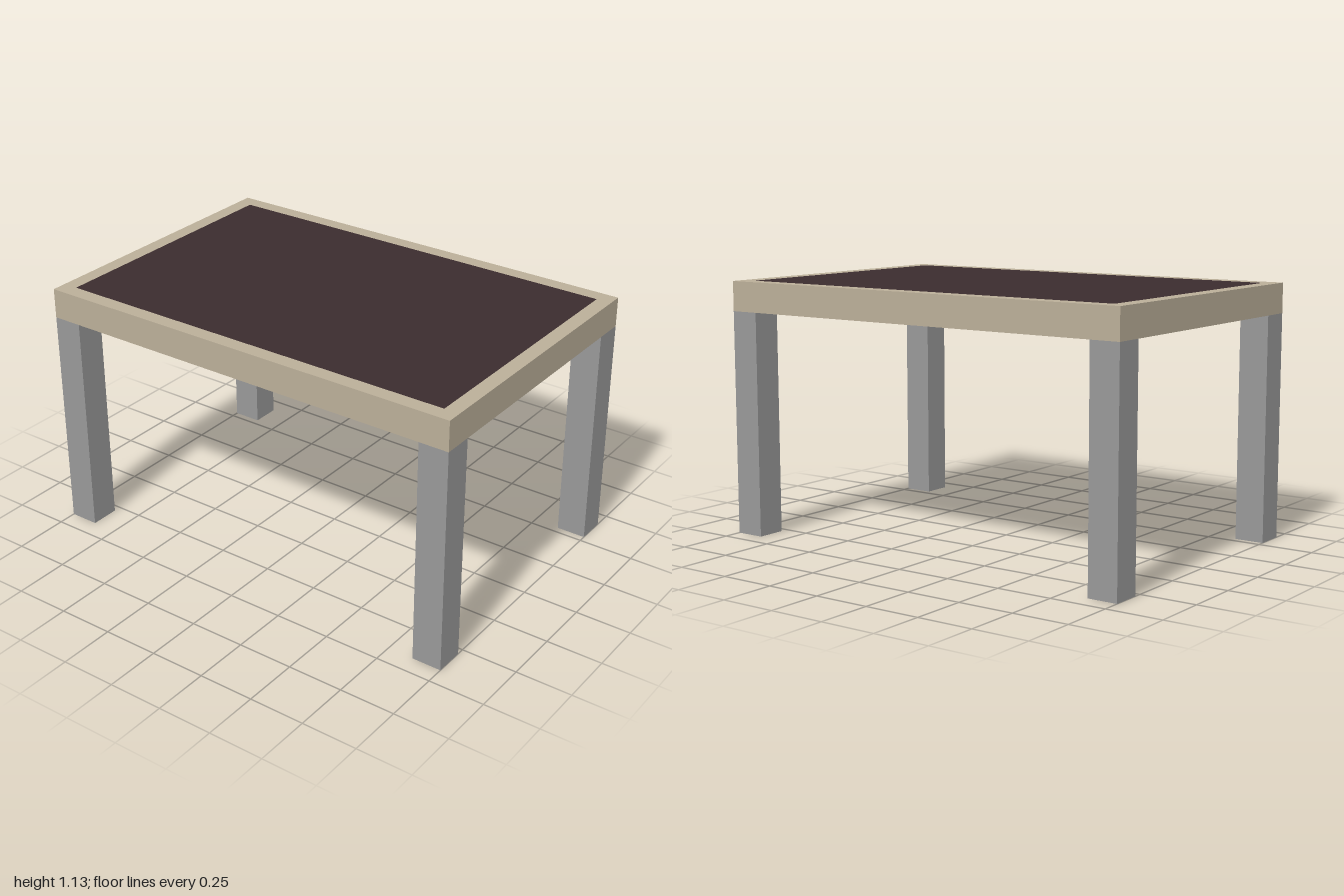
import * as THREE from 'three';

const WIDTH = 1.333, LENGTH = 2, LEG = 0.133, EDGE = 0.067;
const LEG_TOP = 1, PANEL_BOTTOM = 1.067, TOP = 1.133;

const rectangle = (Type, w, l) => new Type([
  new THREE.Vector2(-w / 2, -l / 2), new THREE.Vector2(w / 2, -l / 2),
  new THREE.Vector2(w / 2, l / 2), new THREE.Vector2(-w / 2, l / 2),
]);

// Rectangular ring lying flat, between heights y0 and y1
function ring(w, l, border, y0, y1) {
  const shape = rectangle(THREE.Shape, w, l);
  shape.holes.push(rectangle(THREE.Path, w - 2 * border, l - 2 * border));
  const geometry = new THREE.ExtrudeGeometry(shape, { depth: y1 - y0, bevelEnabled: false });
  return geometry.rotateX(-Math.PI / 2).translate(0, y0, 0);
}

export function createModel() {
  const material = (name, color) => {
    const m = new THREE.MeshStandardMaterial({ color });
    m.name = name;
    return m;
  };
  const tan = material('tan wood', 0xbaae98);
  const grey = material('grey metal', 0x989898);
  const dark = material('dark brown', 0x3b2c2e);

  const table = new THREE.Group();
  table.name = 'table';
  const add = (name, geometry, mat) => {
    const mesh = new THREE.Mesh(geometry, mat);
    mesh.name = name;
    table.add(mesh);
    return mesh;
  };

  // Outer frame, support rails just inside it, and the inset top resting on them
  const innerW = WIDTH - 2 * EDGE, innerL = LENGTH - 2 * EDGE;
  add('topFrame', ring(WIDTH, LENGTH, EDGE, LEG_TOP, TOP), tan);
  add('supportRails', ring(innerW, innerL, EDGE, LEG_TOP, PANEL_BOTTOM), grey);
  add('topPanel', new THREE.BoxGeometry(innerW, TOP - PANEL_BOTTOM, innerL), dark)
    .position.y = (TOP + PANEL_BOTTOM) / 2;

  // Four square legs flush with the outer corners
  const legGeometry = new THREE.BoxGeometry(LEG, LEG_TOP, LEG);
  for (const [side, sx] of [['Left', 1], ['Right', -1]]) {
    for (const [end, sz] of [['front', 1], ['back', -1]]) {
      add(`${end}${side}Leg`, legGeometry, grey)
        .position.set(sx * (WIDTH - LEG) / 2, LEG_TOP / 2, sz * (LENGTH - LEG) / 2);
    }
  }
  return table;
}
